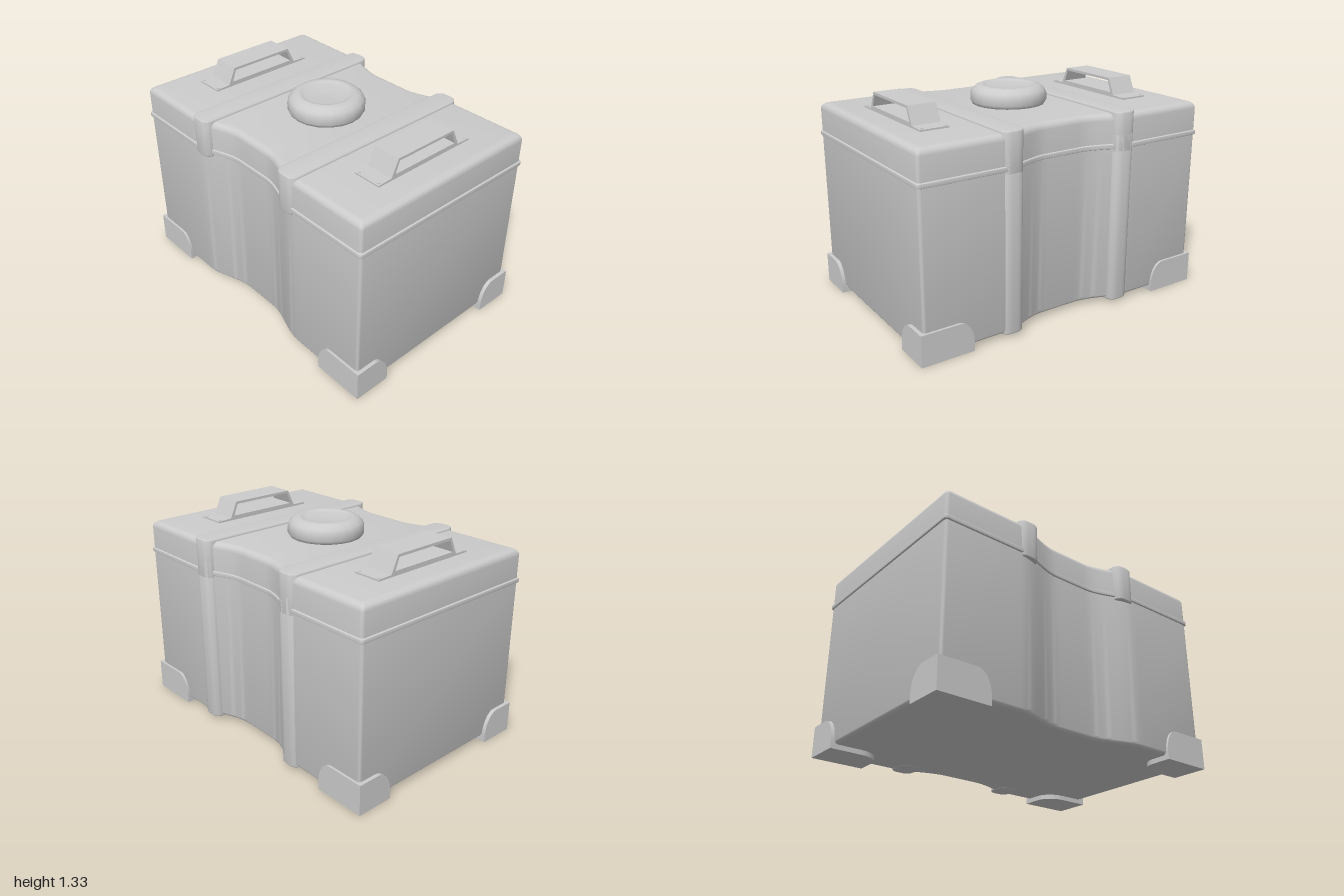
import * as THREE from 'three';
import { toCreasedNormals } from 'three/addons/utils/BufferGeometryUtils.js';

const material = new THREE.MeshStandardMaterial({ color: 0xcccccc });
const HX = 0.977, HZ = 0.648, WAIST = 0.08;

function add(parent, name, geometry) {
  const mesh = new THREE.Mesh(geometry, material);
  mesh.name = name;
  parent.add(mesh);
  return mesh;
}

// Front half of the plan outline, from +x round to -x, with the pinched waist
function frontOutline(inset) {
  const r = 0.02, cx = HX - inset - r, cz = HZ - inset - r;
  const pts = [];
  for (let i = 0; i <= 4; i++) {
    const a = (i / 4) * Math.PI / 2;
    pts.push([cx + r * Math.cos(a), cz + r * Math.sin(a)]);
  }
  for (let i = 0; i <= 36; i++) {
    const x = 0.48 - 0.96 * i / 36;
    const pinch = 1 - THREE.MathUtils.smoothstep(Math.abs(x), 0.12, 0.46);
    pts.push([x, HZ - inset - WAIST * pinch]);
  }
  for (let i = 4; i >= 0; i--) {
    const a = (i / 4) * Math.PI / 2;
    pts.push([-cx - r * Math.cos(a), cz + r * Math.sin(a)]);
  }
  return pts;
}

// Stacks the outline along a profile of [inset, y] and closes both ends
function loft(profile) {
  const position = [], index = [];
  let half = 0, n = 0;
  for (const [inset, y] of profile) {
    const front = frontOutline(inset);
    const back = front.map(([x, z]) => [x, -z]).reverse();
    half = front.length;
    n = half * 2;
    for (const [x, z] of [...front, ...back]) position.push(x, y, z);
  }
  for (let k = 0; k < profile.length - 1; k++) {
    for (let i = 0; i < n; i++) {
      const a = k * n + i, b = k * n + (i + 1) % n;
      index.push(b, a, a + n, b, a + n, b + n);
    }
  }
  const top = (profile.length - 1) * n;
  for (let i = 0; i < half - 1; i++) {
    const f0 = i, f1 = i + 1, b0 = n - 1 - i, b1 = n - 2 - i;
    index.push(f0, f1, b0, f1, b1, b0);
    index.push(top + f1, top + f0, top + b0, top + f1, top + b0, top + b1);
  }
  const g = new THREE.BufferGeometry();
  g.setAttribute('position', new THREE.Float32BufferAttribute(position, 3));
  g.setIndex(index);
  return toCreasedNormals(g, 0.6);
}

// Rounded edge as [inset, y] steps; up = 1 for a top edge, -1 for a bottom edge
function roundEdge(r, y, up) {
  const pts = [];
  for (let i = 0; i <= 5; i++) {
    const a = (i / 5) * Math.PI / 2;
    pts.push([r - r * Math.cos(a), y + up * (r * Math.sin(a) - r)]);
  }
  return up > 0 ? pts : pts.reverse();
}

// Plate with its square corner at (u, v), reaching to (u2, v2) with that corner rounded
function plate(u, v, u2, v2, ru, rv, depth) {
  const su = Math.sign(u2 - u) * ru, sv = Math.sign(v2 - v) * rv, k = 0.448;
  const s = new THREE.Shape();
  s.moveTo(u, v);
  s.lineTo(u2, v);
  s.lineTo(u2, v2 - sv);
  s.bezierCurveTo(u2, v2 - sv * k, u2 - su * k, v2, u2 - su, v2);
  s.lineTo(u, v2);
  s.closePath();
  return new THREE.ExtrudeGeometry(s, { depth, bevelEnabled: false, curveSegments: 10 });
}

// Metal guard on one bottom corner: two walls and a floor
function cornerGuard(sx, sz) {
  const g = new THREE.Group();
  g.name = 'cornerGuard';
  const ox = sx, oz = sz * 0.663, ix = sx * 0.667, iz = sz * 0.425, t = 0.03;
  add(g, 'guardLongWall', plate(ox, 0, ix, 0.193, 0.09, 0.14, t))
    .position.z = sz > 0 ? oz - t : oz;
  add(g, 'guardShortWall', plate(oz, 0, iz, 0.193, 0.1, 0.15, t).rotateY(-Math.PI / 2))
    .position.x = sx > 0 ? ox : ox + t;
  add(g, 'guardFloor', plate(ox, oz, ix, iz, 0.13, 0.11, 0.034).rotateX(Math.PI / 2))
    .position.y = 0.034;
  return g;
}

// Strap block: rounded in plan, spanning z0..z1 and y0..y1
function strapPart(x, z0, z1, y0, y1) {
  const w = 0.072, r = 0.058, b = 0.008;
  const s = new THREE.Shape();
  s.moveTo(-w, z0 + r);
  s.quadraticCurveTo(-w, z0, -w + r, z0);
  s.lineTo(w - r, z0);
  s.quadraticCurveTo(w, z0, w, z0 + r);
  s.lineTo(w, z1 - r);
  s.quadraticCurveTo(w, z1, w - r, z1);
  s.lineTo(-w + r, z1);
  s.quadraticCurveTo(-w, z1, -w, z1 - r);
  s.closePath();
  const g = new THREE.ExtrudeGeometry(s, {
    depth: y1 - y0 - 2 * b, bevelThickness: b, bevelSize: b, bevelOffset: -b,
    bevelSegments: 3, curveSegments: 8,
  });
  g.rotateX(Math.PI / 2).translate(x, y1 - b, 0);
  return toCreasedNormals(g, 0.6);
}

// Trapezoid grip on a screwed-down base
function handle(x) {
  const g = new THREE.Group();
  g.name = 'handle';
  const w = 0.178;
  const s = new THREE.Shape([
    [-0.36, 1.205], [0.36, 1.205], [0.36, 1.225], [0.265, 1.228],
    [0.217, 1.332], [-0.217, 1.332], [-0.265, 1.228], [-0.36, 1.225],
  ].map(p => new THREE.Vector2(...p)));
  s.holes.push(new THREE.Path([
    [-0.236, 1.243], [-0.207, 1.316], [0.207, 1.316], [0.236, 1.243],
  ].map(p => new THREE.Vector2(...p))));
  const grip = new THREE.ExtrudeGeometry(s, { depth: w, bevelEnabled: false });
  add(g, 'handleGrip', grip.rotateY(-Math.PI / 2).translate(w / 2, 0, 0));
  for (const sx of [-1, 1]) for (const sz of [-1, 1]) {
    add(g, 'handleScrew', new THREE.CylinderGeometry(0.008, 0.008, 0.006, 10))
      .position.set(sx * 0.072, 1.226, sz * 0.342);
  }
  g.position.x = x;
  return g;
}

export function createModel() {
  const model = new THREE.Group();
  model.name = 'case';

  // Shell
  add(model, 'body', loft([...roundEdge(0.03, 0.03, -1), [0, 1.01]]));
  add(model, 'lid', loft([[0, 1.01], ...roundEdge(0.04, 1.215, 1)]));
  add(model, 'rim', loft([[0.002, 1.003], [-0.008, 1.008], [-0.01, 1.02], [-0.008, 1.032], [0.002, 1.037]]));

  // Straps: short at the front, full height at the back
  for (const x of [-0.395, 0.395]) {
    const strap = new THREE.Group();
    strap.name = 'strap';
    add(strap, 'strapTop', strapPart(x, -0.663, 0.663, 0.985, 1.23));
    add(strap, 'strapBack', strapPart(x, -0.663, -0.5, 0.025, 1.1));
    model.add(strap);
  }

  // Round cap with a dished top
  const profile = [[0.2, 1.2], [0.225, 1.215], [0.236, 1.235], [0.236, 1.275], [0.225, 1.302],
    [0.2, 1.322], [0.17, 1.331], [0.15, 1.329], [0.13, 1.316], [0, 1.312]];
  const cap = new THREE.LatheGeometry(profile.map(p => new THREE.Vector2(...p)), 20);
  add(model, 'cap', cap);

  for (const x of [-0.715, 0.715]) model.add(handle(x));
  for (const sx of [-1, 1]) for (const sz of [-1, 1]) model.add(cornerGuard(sx, sz));
  return model;
}
